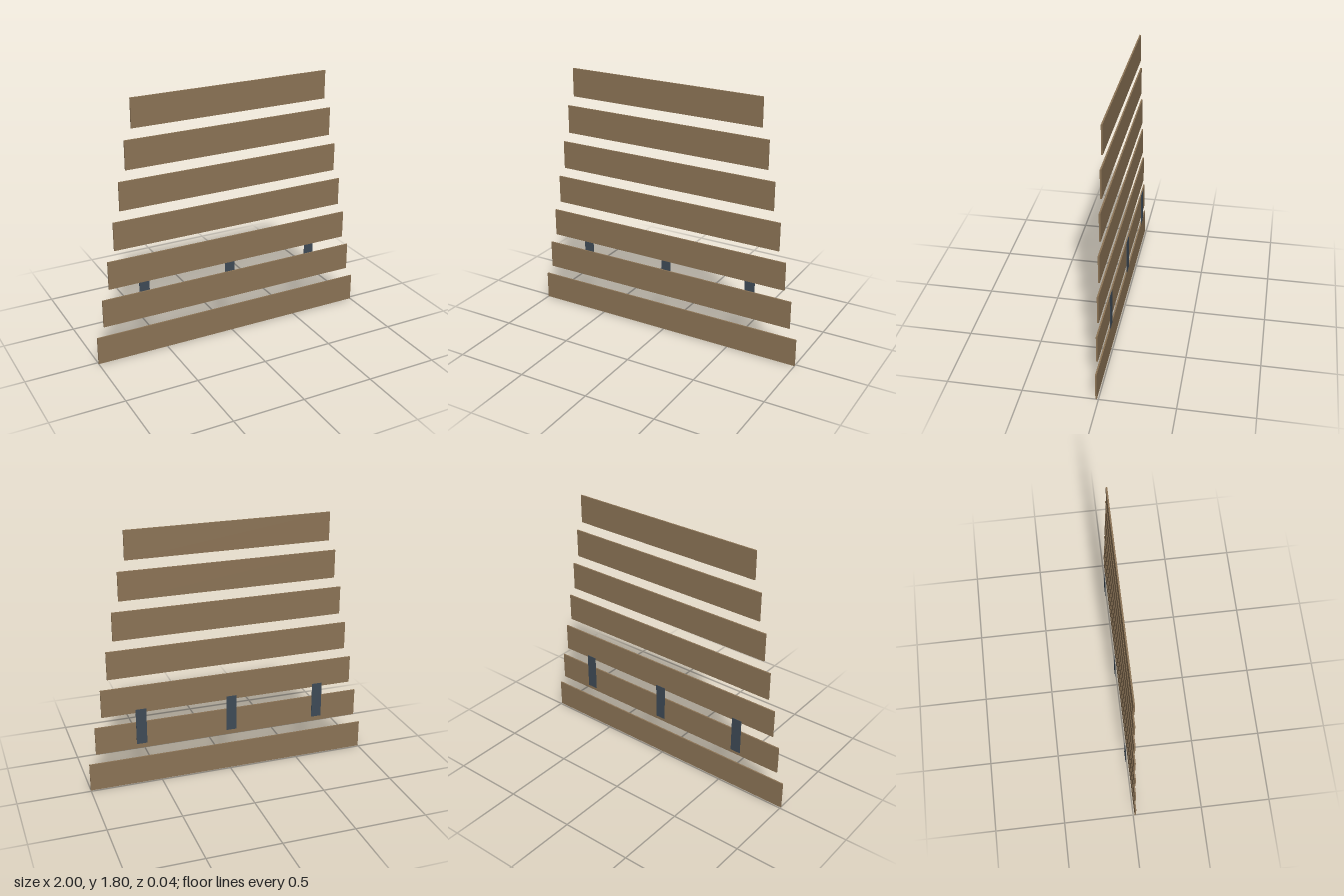
import * as THREE from 'three';

export function createModel() {
  const group = new THREE.Group();
  const wood = new THREE.MeshStandardMaterial({ color: 0x8b7355 });
  wood.name = 'weathered wood';
  const steel = new THREE.MeshStandardMaterial({ color: 0x3e4a56 });
  steel.name = 'dark steel';

  const addBox = (name, material, size, position) => {
    const mesh = new THREE.Mesh(new THREE.BoxGeometry(...size), material);
    mesh.name = name;
    mesh.position.set(...position);
    group.add(mesh);
  };

  // Seven horizontal slats, each narrower than the one below
  const slatHeight = 0.195;
  const pitch = 0.267;
  for (let i = 0; i < 7; i++) {
    addBox(`slat${i + 1}`, wood, [2 - 0.1 * i, slatHeight, 0.01], [0, slatHeight / 2 + pitch * i, 0.015]);
  }

  // Three upright brackets behind the second and third slats
  ['rightBracket', 'middleBracket', 'leftBracket'].forEach((name, i) => {
    addBox(name, steel, [0.073, 0.256, 0.003], [(i - 1) * 0.638, 0.443, -0.0185]);
  });

  return group;
}
